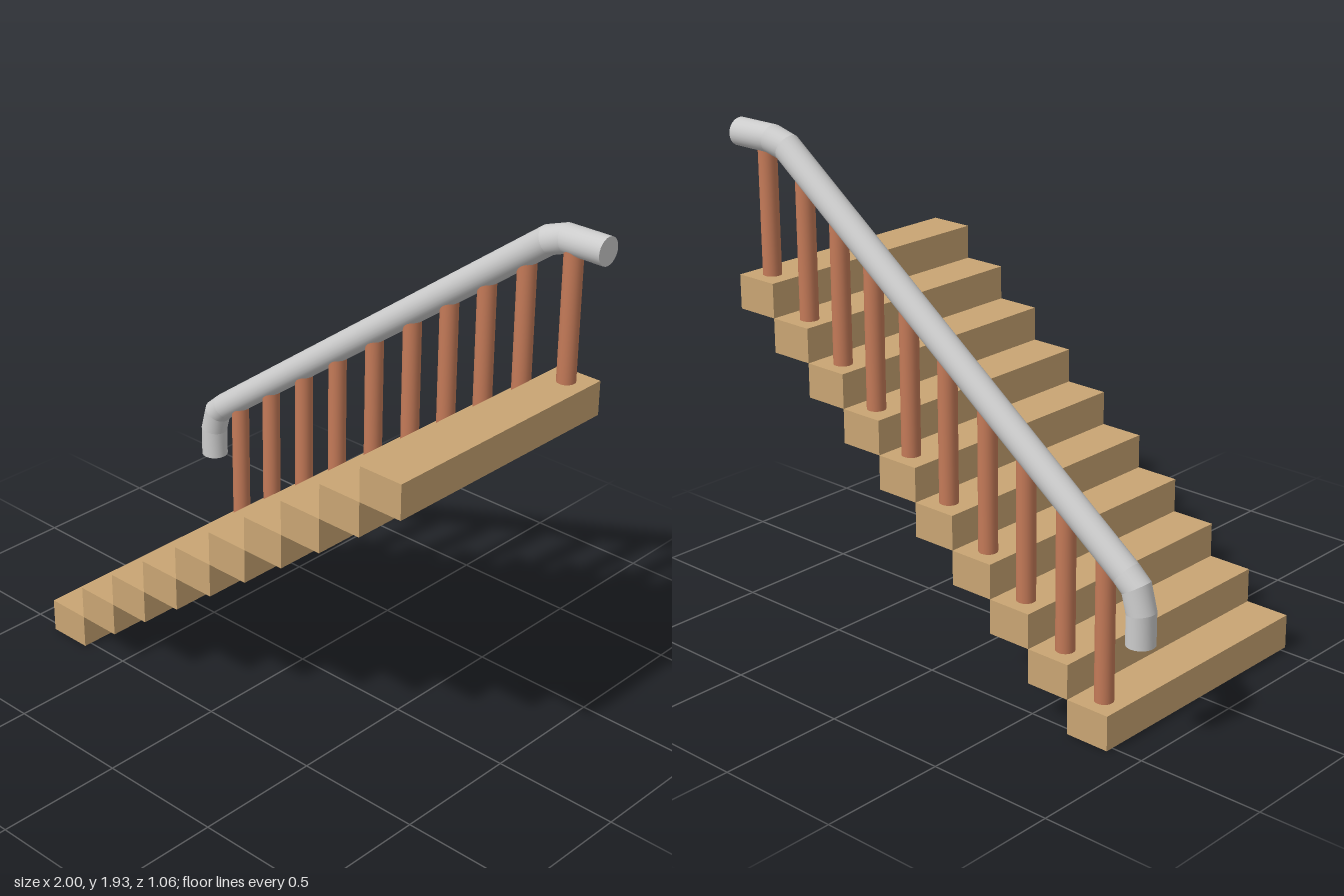
import * as THREE from 'three';

const RAIL_RADIUS = 0.054;
const SIDES = 24;

// Centre line of the handrail, from the bottom end to the top end
const RAIL_PATH = [
  [-0.943, 0.405, -0.445], [-0.943, 0.525, -0.445], [-0.92, 0.61, -0.445], [-0.875, 0.65, -0.445],
  [0.755, 1.857, -0.445], [0.825, 1.88, -0.454], [1, 1.88, -0.454],
].map((p) => new THREE.Vector3(...p));

// Straight round pipes joined by mitred corners, with flat end caps
function mitredPipe(path, radius) {
  const flat = (a, b) => new THREE.Vector2(b.x - a.x, b.y - a.y).normalize();
  const last = path.length - 1;
  const rings = path.map((c, i) => {
    const before = flat(path[Math.max(i - 1, 0)], path[Math.max(i, 1)]);
    const after = flat(path[Math.min(i, last - 1)], path[Math.min(i + 1, last)]);
    const t = before.clone().add(after).normalize();
    const stretch = radius / t.dot(after);
    return Array.from({ length: SIDES }, (_, k) => {
      const a = (k / SIDES) * Math.PI * 2;
      const u = Math.cos(a) * stretch;
      return [c.x - t.y * u, c.y + t.x * u, c.z + Math.sin(a) * radius];
    });
  });

  const positions = [];
  const index = [];
  const addRing = (ring) => {
    const start = positions.length / 3;
    ring.forEach((p) => positions.push(...p));
    return start;
  };
  for (let i = 0; i < last; i++) {
    const a = addRing(rings[i]);
    const b = addRing(rings[i + 1]);
    for (let k = 0; k < SIDES; k++) {
      const n = (k + 1) % SIDES;
      index.push(a + k, a + n, b + k, a + n, b + n, b + k);
    }
  }
  const first = addRing(rings[0]);
  const end = addRing(rings[last]);
  for (let k = 1; k < SIDES - 1; k++) {
    index.push(first, first + k + 1, first + k, end, end + k, end + k + 1);
  }

  const geometry = new THREE.BufferGeometry();
  geometry.setAttribute('position', new THREE.Float32BufferAttribute(positions, 3));
  geometry.setIndex(index);
  geometry.computeVertexNormals();
  return geometry;
}

// Height of the handrail's centre line above a given x
function railHeight(x) {
  for (let i = 1; i < RAIL_PATH.length - 1; i++) {
    const a = RAIL_PATH[i];
    const b = RAIL_PATH[i + 1];
    if (x >= a.x && x <= b.x) return a.y + ((x - a.x) / (b.x - a.x)) * (b.y - a.y);
  }
  return RAIL_PATH[0].y;
}

export function createModel() {
  const model = new THREE.Group();
  model.name = 'staircase';
  const wood = new THREE.MeshStandardMaterial({ color: 0xc9a573 });
  const copper = new THREE.MeshStandardMaterial({ color: 0xc47a58 });
  const grey = new THREE.MeshStandardMaterial({ color: 0xcccccc });

  const add = (name, geometry, material, x = 0, y = 0, z = 0) => {
    const mesh = new THREE.Mesh(geometry, material);
    mesh.name = name;
    mesh.position.set(x, y, z);
    model.add(mesh);
  };

  // Ten solid steps, each with one baluster
  const run = 0.182;
  const rise = 0.135;
  const balusterX = [-0.785, -0.605, -0.42, -0.238, -0.046, 0.142, 0.318, 0.49, 0.665, 0.863];
  const stepGeometry = new THREE.BoxGeometry(run, rise, 1.06);
  balusterX.forEach((x, i) => {
    add(`step${i + 1}`, stepGeometry, wood, -0.87 + run * (i + 0.5), rise * (i + 0.5), 0);
    const base = rise * (i + 1) - 0.01;
    const height = railHeight(x) - base;
    const baluster = new THREE.CylinderGeometry(0.036, 0.036, height, SIDES);
    add(`baluster${i + 1}`, baluster, copper, x, base + height / 2, -0.445);
  });

  // Handrail
  add('handrail', mitredPipe(RAIL_PATH, RAIL_RADIUS), grey);
  return model;
}
